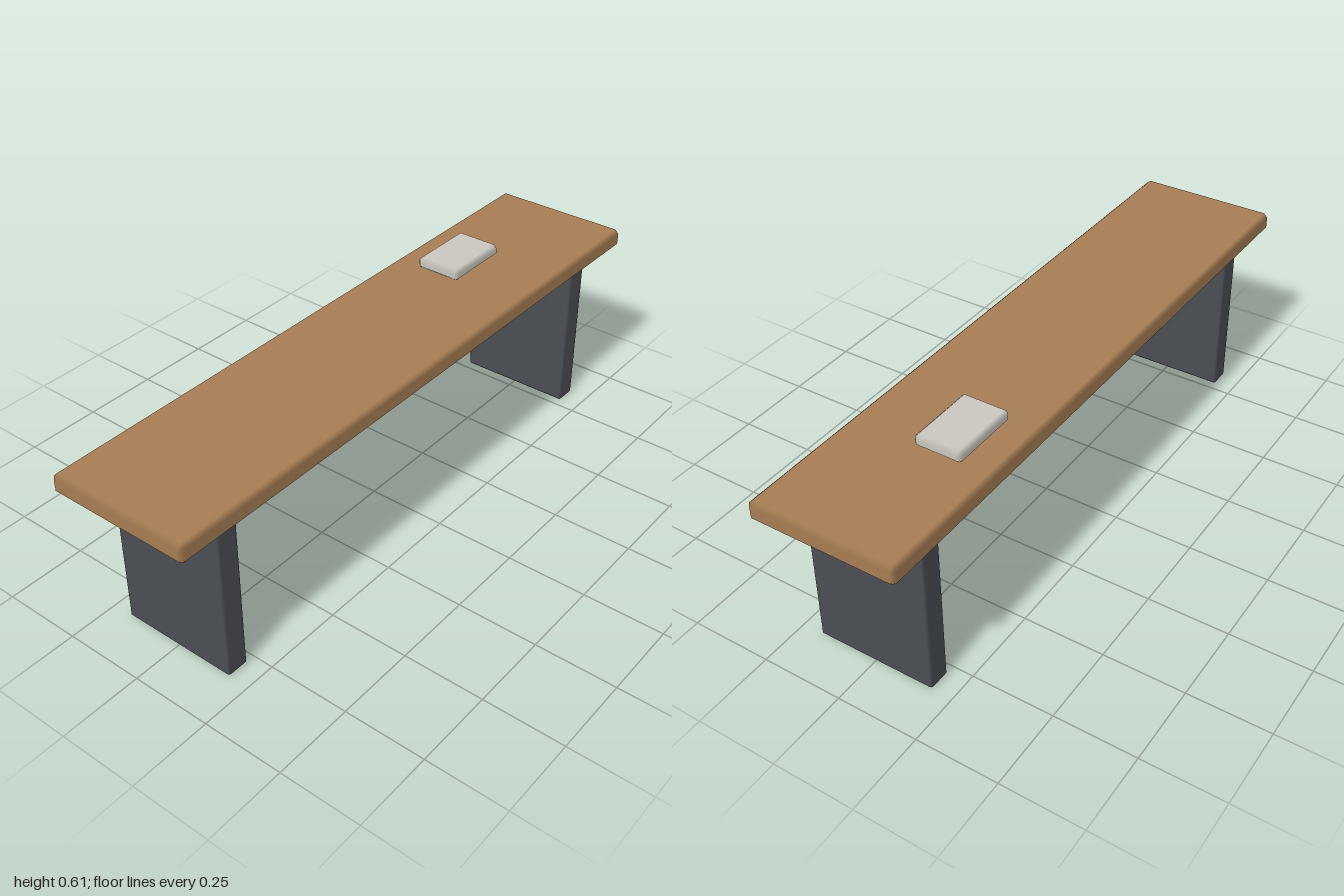
import * as THREE from 'three';
import { ConvexGeometry } from 'three/addons/geometries/ConvexGeometry.js';

const mat = (name, color) => {
  const m = new THREE.MeshStandardMaterial({ color });
  m.name = name;
  return m;
};

// Box with one chamfer on every edge; flats keep their own normals, chamfers blend between them.
function chamferBox(w, h, d, c) {
  const half = [w / 2, h / 2, d / 2];
  const points = [];
  for (let axis = 0; axis < 3; axis++)
    for (const sx of [-1, 1]) for (const sy of [-1, 1]) for (const sz of [-1, 1]) {
      const p = [sx, sy, sz].map((s, i) => s * (half[i] - (i === axis ? 0 : c)));
      points.push(new THREE.Vector3(...p));
    }
  const geo = new ConvexGeometry(points);
  const pos = geo.attributes.position, nor = geo.attributes.normal;
  for (let i = 0; i < pos.count; i++) {
    const p = [pos.getX(i), pos.getY(i), pos.getZ(i)];
    const n = p.map((v, k) => (half[k] - Math.abs(v) < c / 2 ? Math.sign(v) : 0));
    nor.setXYZ(i, ...n);
  }
  return geo;
}

export function createModel() {
  const model = new THREE.Group();
  model.name = 'bench';
  const wood = mat('warm wood', 0xa67c52);
  const steel = mat('dark slate', 0x4a4e53);
  const pale = mat('pale grey', 0xc9c6bf);

  const add = (name, size, chamfer, position, material) => {
    const mesh = new THREE.Mesh(chamferBox(...size, chamfer), material);
    mesh.name = name;
    mesh.position.set(...position);
    model.add(mesh);
  };

  // Long plank seat
  add('seat', [2, 0.06, 0.45], 0.0125, [0, 0.538, 0], wood);

  // Slab legs, mirrored
  for (const [name, s] of [['leftLeg', 1], ['rightLeg', -1]])
    add(name, [0.07, 0.51, 0.374], 0.006, [s * 0.811, 0.255, 0], steel);

  // Small book lying on the seat
  add('book', [0.225, 0.038, 0.15], 0.012, [0.4985, 0.587, -0.0625], pale);

  return model;
}
